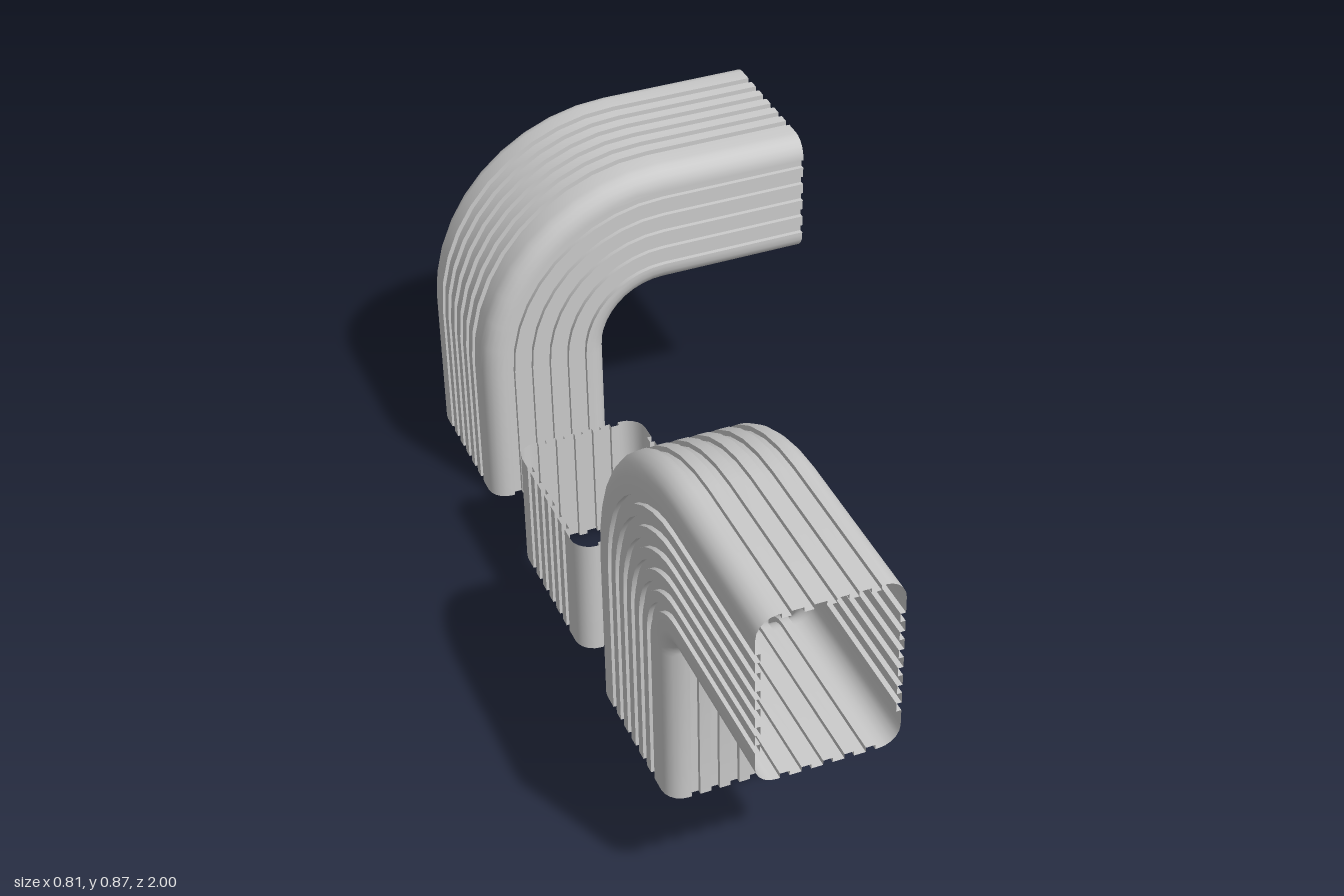
import * as THREE from 'three';
import { toCreasedNormals } from 'three/addons/utils/BufferGeometryUtils.js';

const SHORT = 0.305, LONG = 0.41;
const CORNER = 0.045, PITCH = 0.045, GROOVE = 0.02, DEPTH = 0.011;

// Closed outline of a rounded rectangle, w by d, with square grooves in each wall
function ribbedProfile(w, d) {
  const pts = [];
  const walls = [[w / 2, d, 0], [d / 2, w, 1], [w / 2, d, 2], [d / 2, w, 3]];
  for (const [out, length, turn] of walls) {
    const axis = new THREE.Vector2(0, 0);
    const angle = turn * Math.PI / 2;
    const add = (o, s) => pts.push(new THREE.Vector2(o, s).rotateAround(axis, angle));
    const count = length === LONG ? 6 : 5;
    for (let i = 0; i < count; i++) {
      const s = (i - (count - 1) / 2) * PITCH, h = GROOVE / 2;
      add(out, s - h);
      add(out - DEPTH, s - h);
      add(out - DEPTH, s + h);
      add(out, s + h);
    }
    // rounded corner leading to the next wall
    for (let k = 0; k <= 5; k++) {
      const t = k / 5 * Math.PI / 2;
      add(out - CORNER + CORNER * Math.cos(t), length / 2 - CORNER + CORNER * Math.sin(t));
    }
  }
  return pts;
}

// Skin a stack of equal rings with an open-ended wall
function skin(rings) {
  const n = rings[0].length, index = [];
  for (let r = 0; r < rings.length - 1; r++) {
    for (let i = 0; i < n; i++) {
      const a = r * n + i, b = r * n + (i + 1) % n;
      index.push(a, a + n, b, b, a + n, b + n);
    }
  }
  const geometry = new THREE.BufferGeometry().setFromPoints(rings.flat());
  geometry.setIndex(index);
  return toCreasedNormals(geometry, 0.6);
}

// Upright pipe that bends 90 degrees towards +x around (cx, cy) and ends at x = end
function elbowGeometry(profile, cx, cy, end) {
  const steps = 10;
  const rings = [profile.map(p => new THREE.Vector3(p.x, 0, p.y))];
  for (let k = 0; k <= steps; k++) {
    const t = k / steps * Math.PI / 2;
    rings.push(profile.map(p => new THREE.Vector3(
      cx - (cx - p.x) * Math.cos(t), cy + (cx - p.x) * Math.sin(t), p.y)));
  }
  rings.push(profile.map(p => new THREE.Vector3(end, cy + cx - p.x, p.y)));
  return skin(rings);
}

function straightGeometry(profile, height) {
  return skin([0, height].map(y => profile.map(p => new THREE.Vector3(p.x, y, p.y))));
}

export function createModel() {
  const group = new THREE.Group();
  group.name = 'downspoutFittings';
  const material = new THREE.MeshStandardMaterial({ color: 0xcccccc, side: THREE.DoubleSide });
  const x = -0.256;

  const add = (name, geometry, z, turn = 0) => {
    const mesh = new THREE.Mesh(geometry, material);
    mesh.name = name;
    mesh.position.set(x, 0, z);
    mesh.rotation.y = turn;
    group.add(mesh);
  };

  // elbow bending across its long side, opening to the front
  add('frontElbow', elbowGeometry(ribbedProfile(LONG, SHORT), 0.265, 0.4, 0.66), 0.34, -Math.PI / 2);
  // short straight length
  add('straightPipe', straightGeometry(ribbedProfile(SHORT, LONG), 0.297), -0.185);
  // elbow bending across its short side, opening to the left
  add('sideElbow', elbowGeometry(ribbedProfile(SHORT, LONG), 0.306, 0.36, 0.661), -0.795);

  return group;
}
